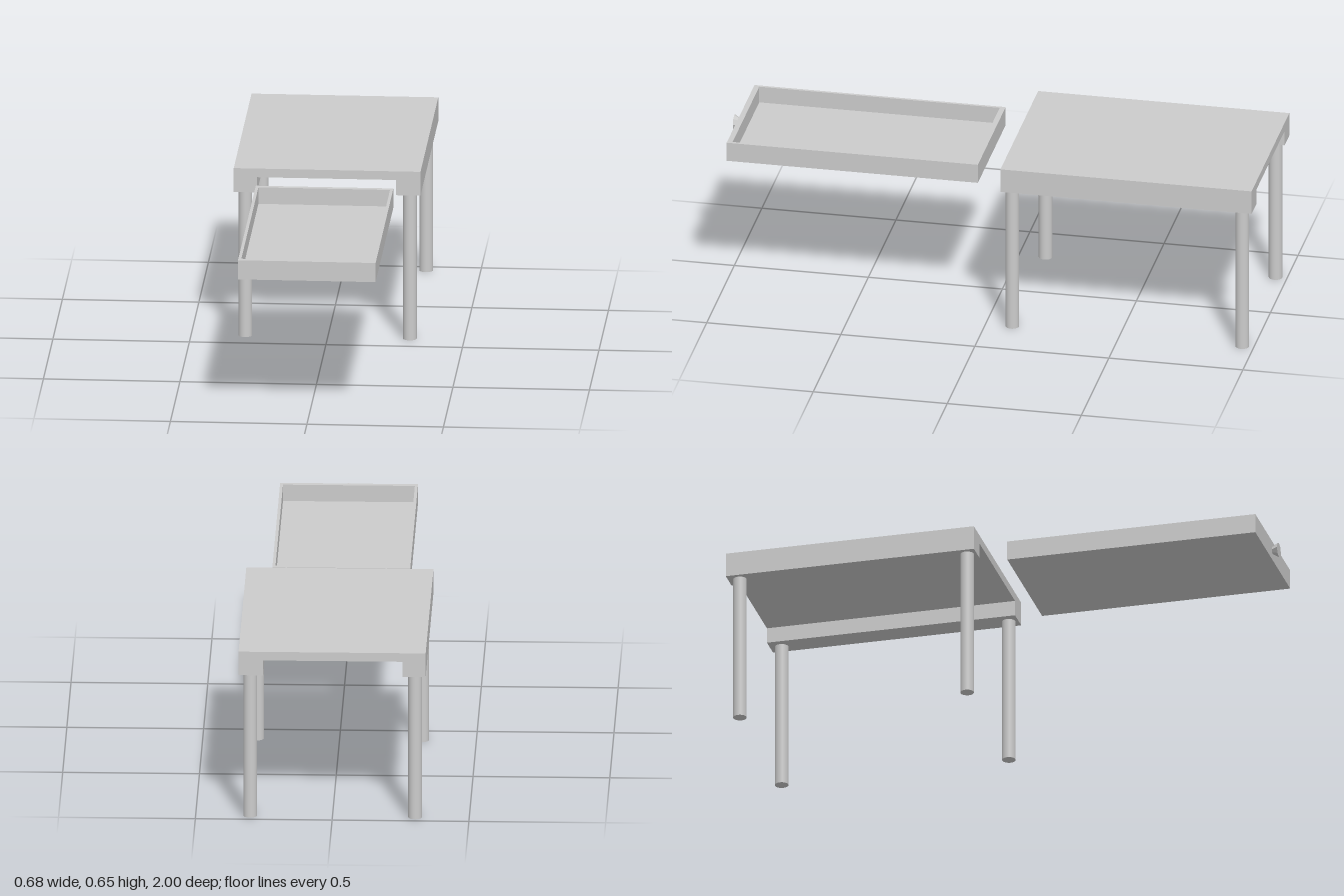
import * as THREE from 'three';

const material = new THREE.MeshStandardMaterial({ color: 0xcccccc });
const flatMaterial = new THREE.MeshStandardMaterial({ color: 0xcccccc, flatShading: true });

function add(parent, name, geometry, x, y, z, mat = material) {
  const mesh = new THREE.Mesh(geometry, mat);
  mesh.name = name;
  mesh.position.set(x, y, z);
  parent.add(mesh);
  return mesh;
}

// Box given by its minimum and maximum corners
function addBox(parent, name, [x0, y0, z0], [x1, y1, z1]) {
  const geometry = new THREE.BoxGeometry(x1 - x0, y1 - y0, z1 - z0);
  return add(parent, name, geometry, (x0 + x1) / 2, (y0 + y1) / 2, (z0 + z1) / 2);
}

function createTable() {
  const table = new THREE.Group();
  table.name = 'table';

  // Top with side rails, open below for the drawer
  const top = 0.648, slotTop = 0.615, bottom = 0.557, half = 0.342;
  const slotLeft = 0.252, slotRight = -0.257;
  const profile = new THREE.Shape([
    [-half, bottom], [slotRight, bottom], [slotRight, slotTop], [slotLeft, slotTop],
    [slotLeft, bottom], [half, bottom], [half, top], [-half, top],
  ].map(([x, y]) => new THREE.Vector2(x, y)));
  const slab = new THREE.ExtrudeGeometry(profile, { depth: 0.937, bevelEnabled: false });
  add(table, 'tableTop', slab, 0, 0, -1);

  // Four round legs
  const leg = new THREE.CylinderGeometry(0.025, 0.025, bottom, 32);
  for (const [end, z] of [['front', -0.099], ['back', -0.957]]) {
    for (const [side, x] of [['Left', 0.301], ['Right', -0.302]]) {
      add(table, `${end}${side}Leg`, leg, x, bottom / 2, z);
    }
  }
  return table;
}

function createDrawer() {
  const drawer = new THREE.Group();
  drawer.name = 'drawer';
  const x0 = -0.254, x1 = 0.25, y0 = 0.541, y1 = 0.614, z0 = 0.04, z1 = 0.977;
  const side = 0.011, end = 0.02, floor = y0 + 0.01;

  // Floor and four walls
  addBox(drawer, 'drawerFloor', [x0 + side, y0, z0 + end], [x1 - side, floor, z1 - end]);
  addBox(drawer, 'drawerBack', [x0, y0, z0], [x1, y1, z0 + end]);
  addBox(drawer, 'drawerFront', [x0, y0, z1 - end], [x1, y1, z1]);
  addBox(drawer, 'drawerRightWall', [x0, y0, z0 + end], [x0 + side, y1, z1 - end]);
  addBox(drawer, 'drawerLeftWall', [x1 - side, y0, z0 + end], [x1, y1, z1 - end]);

  // Octagonal knob, flaring towards the front
  const knob = new THREE.CylinderGeometry(0.029, 0.014, 1 - z1, 8).rotateX(Math.PI / 2);
  add(drawer, 'knob', knob, -0.001, 0.58, (1 + z1) / 2, flatMaterial);
  return drawer;
}

export function createModel() {
  const model = new THREE.Group();
  model.name = 'tableWithDrawer';
  model.add(createTable(), createDrawer());
  return model;
}
